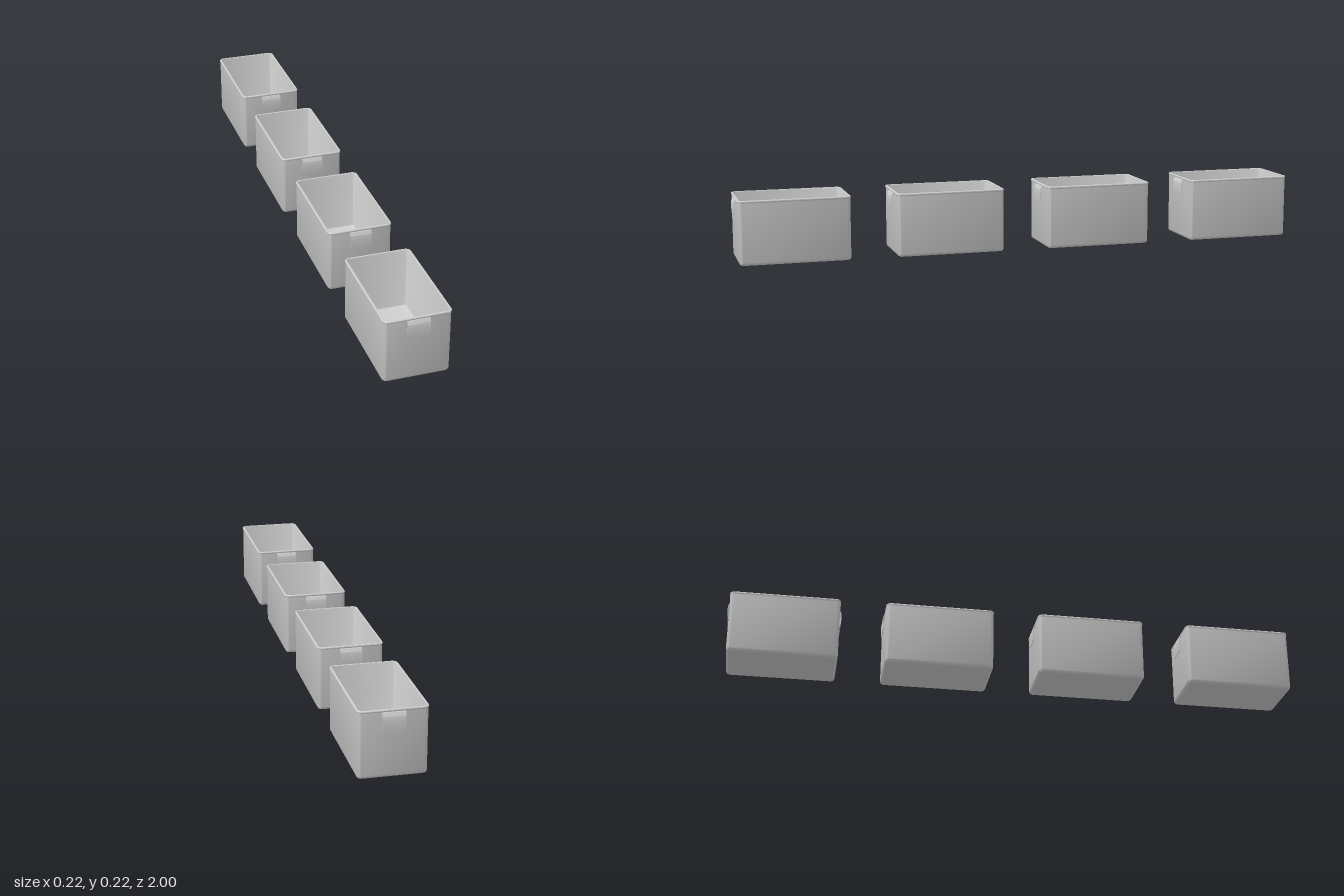
import * as THREE from 'three';
import { toCreasedNormals } from 'three/addons/utils/BufferGeometryUtils.js';

const mat = new THREE.MeshStandardMaterial({ color: 0xcccccc });
const plateMat = new THREE.MeshStandardMaterial({ color: 0xcccccc, side: THREE.DoubleSide });

const HX = 0.109, HZ = 0.188, H = 0.22, CORNER = 0.016, SEG = 6;

// Rounded rectangle outline, grown or shrunk by an offset, at height y
function ring(offset, y) {
  const r = Math.max(CORNER + offset, 0.002), pts = [];
  for (let c = 0; c < 4; c++) {
    const sx = c === 0 || c === 3 ? 1 : -1, sz = c < 2 ? 1 : -1;
    for (let i = 0; i <= SEG; i++) {
      const a = (c + i / SEG) * Math.PI / 2;
      pts.push([sx * (HX + offset - r) + r * Math.cos(a), y, sz * (HZ + offset - r) + r * Math.sin(a)]);
    }
  }
  return pts;
}

// Loft from the underside, up the outside, over the rim and down to the inner floor
function tubGeometry() {
  const profile = [];
  const arc = (cx, cy, r, from, to, n) => {
    for (let i = 0; i <= n; i++) {
      const a = from + (to - from) * i / n;
      profile.push([cx + r * Math.cos(a), cy + r * Math.sin(a)]);
    }
  };
  arc(-0.01, 0.01, 0.01, -Math.PI / 2, 0, 5);            // outer bottom fillet
  profile.push([0, H - 0.01]);                           // outer wall
  arc(-0.002, H - 0.004, 0.004, -0.9, Math.PI / 2, 6);   // rolled rim
  profile.push([-0.005, H - 0.001], [-0.006, H - 0.004]);
  arc(-0.014, 0.014, 0.008, 0, -Math.PI / 2, 5);         // inner fillet

  const rings = profile.map(([o, y]) => ring(o, y));
  const n = rings[0].length, pos = [];
  const tri = (a, b, c) => pos.push(...a, ...b, ...c);
  for (let j = 0; j < n; j++) {
    const k = (j + 1) % n;
    for (let i = 0; i < rings.length - 1; i++) {
      const lo = rings[i], up = rings[i + 1];
      tri(lo[j], up[j], lo[k]);
      tri(lo[k], up[j], up[k]);
    }
    const last = rings[rings.length - 1];
    tri([0, 0, 0], rings[0][j], rings[0][k]);            // underside
    tri([0, last[0][1], 0], last[k], last[j]);           // inner floor
  }
  const g = new THREE.BufferGeometry();
  g.setAttribute('position', new THREE.Float32BufferAttribute(pos, 3));
  return toCreasedNormals(g, 0.7);
}

// Curved finger plate that hangs out from under the rim
function handleGeometry() {
  const w = 0.073, s = new THREE.Shape();
  s.moveTo(HZ - 0.001, 0.212);
  s.bezierCurveTo(HZ + 0.005, 0.211, HZ + 0.008, 0.202, HZ + 0.008, 0.185);
  s.quadraticCurveTo(HZ + 0.008, 0.168, HZ + 0.006, 0.155);
  s.lineTo(HZ + 0.004, 0.155);
  s.quadraticCurveTo(HZ + 0.006, 0.168, HZ + 0.006, 0.185);
  s.bezierCurveTo(HZ + 0.006, 0.2, HZ + 0.004, 0.208, HZ - 0.001, 0.209);
  const g = new THREE.ExtrudeGeometry(s, { depth: w, bevelEnabled: false, curveSegments: 8 });
  g.translate(0, 0, -w / 2);
  g.rotateY(-Math.PI / 2);
  return toCreasedNormals(g, 0.7);
}

export function createModel() {
  const model = new THREE.Group();
  model.name = 'binRow';
  const tub = tubGeometry(), handle = handleGeometry();
  for (let i = 0; i < 4; i++) {
    const bin = new THREE.Group();
    bin.name = 'bin' + (i + 1);
    const body = new THREE.Mesh(tub, mat);
    body.name = 'tub';
    bin.add(body);
    // One handle on each end
    ['frontHandle', 'backHandle'].forEach((name, k) => {
      const m = new THREE.Mesh(handle, plateMat);
      m.name = name;
      m.rotation.y = k * Math.PI;
      bin.add(m);
    });
    bin.position.z = (1.5 - i) * 0.536;
    model.add(bin);
  }
  return model;
}
